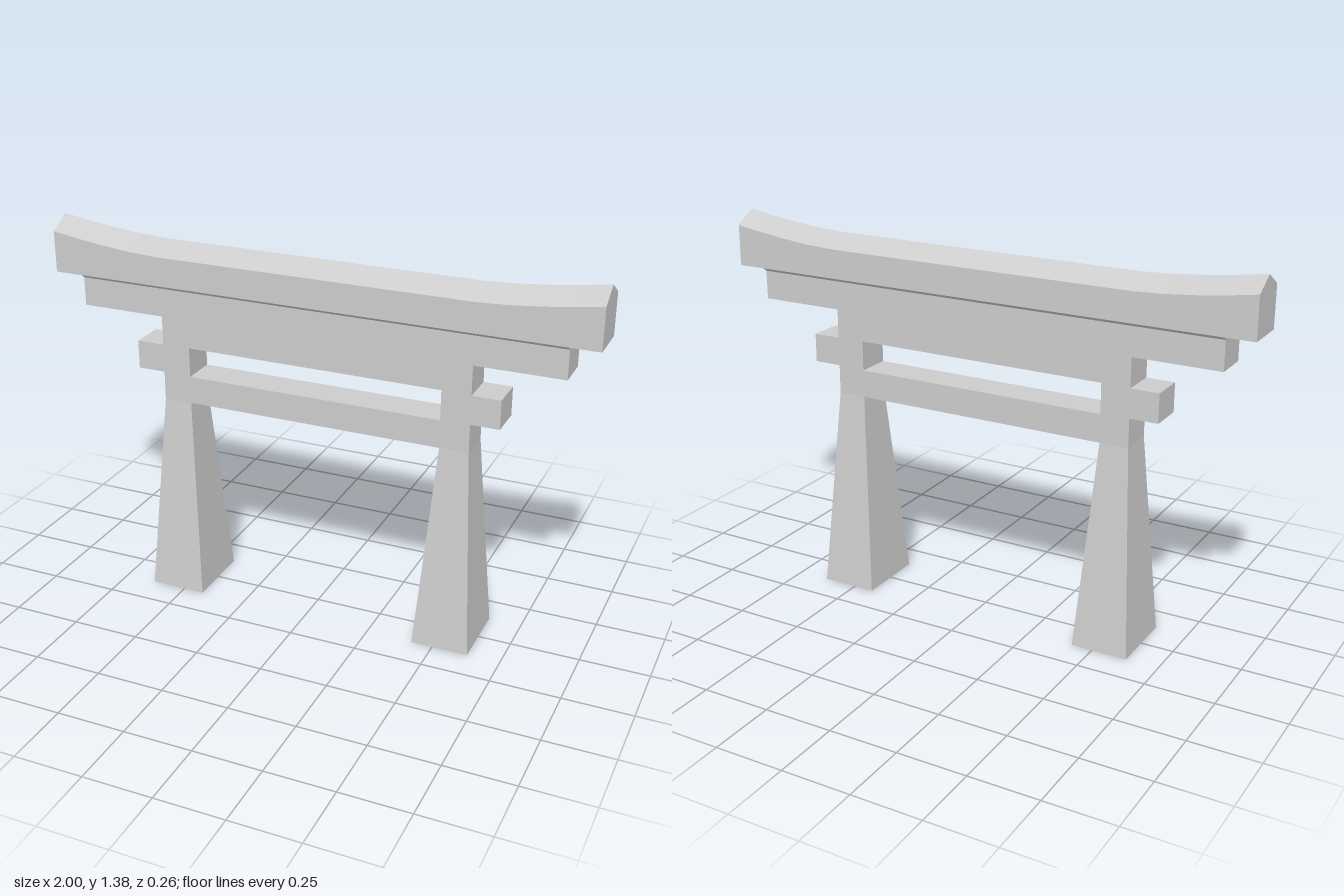
import * as THREE from 'three';

const material = new THREE.MeshStandardMaterial({ color: 0xcccccc, flatShading: true, side: THREE.DoubleSide });

// Joins matching rings of [x, y, z] points into a faceted surface, optionally capped.
function loft(rings, capped) {
  const out = [];
  const tri = (...pts) => pts.forEach((p) => out.push(...p));
  const n = rings[0].length;
  for (let i = 0; i < rings.length - 1; i++) {
    for (let j = 0; j < n; j++) {
      const k = (j + 1) % n;
      const [a, b, c, d] = [rings[i][j], rings[i][k], rings[i + 1][j], rings[i + 1][k]];
      tri(a, c, d);
      tri(a, d, b);
    }
  }
  if (capped) {
    const first = rings[0], last = rings[rings.length - 1];
    for (let j = 1; j < n - 1; j++) {
      tri(first[0], first[j], first[j + 1]);
      tri(last[0], last[j + 1], last[j]);
    }
  }
  const geometry = new THREE.BufferGeometry();
  geometry.setAttribute('position', new THREE.Float32BufferAttribute(out, 3));
  geometry.computeVertexNormals();
  return geometry;
}

// Horizontal rectangle ring at height y.
const rect = (cx, y, hx, hz) => [[cx + hx, y, hz], [cx - hx, y, hz], [cx - hx, y, -hz], [cx + hx, y, -hz]];

export function createModel() {
  const group = new THREE.Group();
  const add = (name, geometry) => {
    const mesh = new THREE.Mesh(geometry, material);
    mesh.name = name;
    group.add(mesh);
  };

  // Frame: lintel, post tops, tie beam and its stubs as one slab with a window
  const half = [
    [0.475, 0.75], [0.58, 0.75], [0.58, 0.855], [0.683, 0.855], [0.683, 0.96],
    [0.58, 0.96], [0.58, 1.067], [0.895, 1.067], [0.895, 1.172],
  ];
  const outline = [...half, ...half.map(([x, y]) => [-x, y]).reverse()];
  const shape = new THREE.Shape(outline.map(([x, y]) => new THREE.Vector2(x, y)));
  const window = [[-0.475, 0.852], [-0.475, 0.962], [0.475, 0.962], [0.475, 0.852]];
  shape.holes.push(new THREE.Path(window.map(([x, y]) => new THREE.Vector2(x, y))));
  const frame = new THREE.ExtrudeGeometry(shape, { depth: 0.13, bevelEnabled: false });
  frame.translate(0, 0, -0.065);
  add('frame', frame);

  // Flared strip between lintel and roof beam
  add('lintelFlare', loft([rect(0, 1.172, 0.895, 0.065), rect(0, 1.184, 0.895, 0.08)], false));

  // Tapered legs, open at the foot
  for (const [name, side] of [['leftLeg', 1], ['rightLeg', -1]]) {
    add(name, loft([rect(side * 0.526, 0, 0.104, 0.132), rect(side * 0.5275, 0.75, 0.0525, 0.065)], false));
  }

  // Ridged roof beam with upswept ends
  const stations = [0.58, 0.69, 0.8, 0.9, 1];
  const xs = [...stations.map((x) => -x).reverse(), ...stations];
  add('roofBeam', loft(xs.map((x) => {
    const rise = 0.044 * Math.pow((Math.abs(x) - 0.58) / 0.42, 1.6);
    return [
      [x, 1.184, -0.08], [x, 1.184, 0.08], [x, 1.291 + rise, 0.08],
      [x, 1.338 + rise, 0], [x, 1.291 + rise, -0.08],
    ];
  }), true));

  return group;
}
